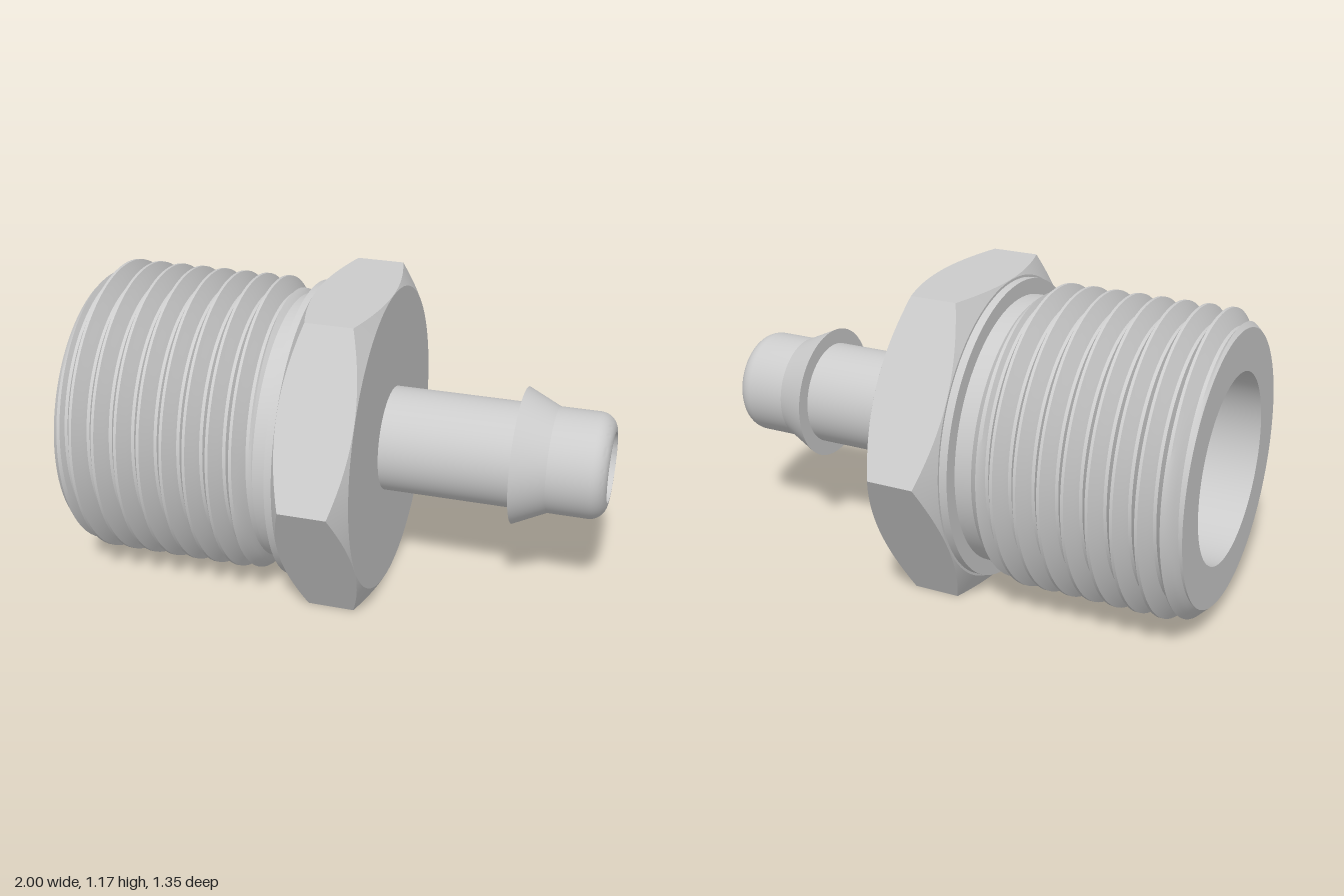
import * as THREE from 'three';
import { toCreasedNormals } from 'three/addons/utils/BufferGeometryUtils.js';

const material = new THREE.MeshStandardMaterial({ color: 0xcccccc });
const AXIS_Y = 0.583; // height of the fitting's axis, also half the hex width

function addMesh(group, name, geometry) {
  const mesh = new THREE.Mesh(toCreasedNormals(geometry, 0.4), material);
  mesh.name = name;
  group.add(mesh);
}

// Turned part: profile points are [x, radius], outside running towards +x
function turned(profile) {
  const points = profile.map(([x, r]) => new THREE.Vector2(r, x));
  return new THREE.LatheGeometry(points, 96).rotateZ(-Math.PI / 2);
}

// Surface wound round the x axis; at(row, angle) gives [x, radius]
function wound(rows, segments, at) {
  const positions = [], index = [];
  for (let i = 0; i < rows; i++) {
    for (let j = 0; j <= segments; j++) {
      const angle = (j / segments) * Math.PI * 2;
      const [x, r] = at(i, angle);
      positions.push(x, r * Math.cos(angle), r * Math.sin(angle));
    }
  }
  const point = (k) => new THREE.Vector3().fromArray(positions, k * 3);
  const addTriangle = (a, b, c) => {
    // skip slivers where rows run together
    if (new THREE.Triangle(point(a), point(b), point(c)).getArea() > 1e-8) index.push(a, b, c);
  };
  for (let i = 0; i < rows - 1; i++) {
    for (let j = 0; j < segments; j++) {
      const a = i * (segments + 1) + j, b = a + segments + 1;
      addTriangle(a, a + 1, b);
      addTriangle(a + 1, b + 1, b);
    }
  }
  const geometry = new THREE.BufferGeometry();
  geometry.setAttribute('position', new THREE.Float32BufferAttribute(positions, 3));
  geometry.setIndex(index);
  return geometry;
}

// Right-hand helical thread, bevelled down to the root at both ends
function threadGeometry() {
  const start = -1, end = -0.22, pitch = 0.0887, root = 0.512, height = 0.06;
  const tooth = [[-0.06, 1], [0.06, 1], [0.18, 0.67], [0.31, 0.33], [0.43, 0],
    [0.57, 0], [0.69, 0.33], [0.82, 0.67]]; // [part of pitch, part of height]
  return wound(tooth.length * 12, 96, (row, angle) => {
    const [offset, rise] = tooth[row % tooth.length];
    const turn = Math.floor(row / tooth.length) + angle / (Math.PI * 2);
    const x = THREE.MathUtils.clamp(-1.102 + pitch * (turn + offset), start, end);
    return [x, root + Math.min(rise * height, x - start, end - x)];
  });
}

// Hexagon with corners towards +z and -z, both faces chamfered by a 30 degree cone
function nutGeometry() {
  const x0 = -0.125, x1 = 0.16, faceRadius = 0.581, side = Math.PI / 3;
  return wound(6, 144, (row, angle) => {
    const fromFlat = angle - Math.round(angle / side) * side;
    const r = AXIS_Y / Math.cos(fromFlat);
    const depth = (r - faceRadius) * 0.577;
    return [[x0, 0.3], [x0, faceRadius], [x0 + depth, r],
      [x1 - depth, r], [x1, faceRadius], [x1, 0.15]][row];
  });
}

export function createModel() {
  const group = new THREE.Group();
  group.name = 'hoseBarbFitting';
  const body = new THREE.Group();
  body.name = 'body';
  body.position.y = AXIS_Y;
  group.add(body);

  addMesh(body, 'thread', threadGeometry());
  addMesh(body, 'hexNut', nutGeometry());

  // End face and the plain neck behind the thread
  addMesh(body, 'endFace', turned([[-1, 0.355], [-1, 0.512]]));
  addMesh(body, 'neck', turned([[-0.22, 0.512], [-0.155, 0.512]]));
  addMesh(body, 'collar', turned([[-0.155, 0.512], [-0.155, 0.572], [-0.125, 0.572]]));

  // Hose stem with one barb and a rounded tip
  const stem = [[0.1, 0.2], [0.66, 0.2], [0.66, 0.259], [0.785, 0.2]];
  for (let i = 0; i <= 10; i++) {
    const a = (i / 10) * Math.PI / 2;
    stem.push([0.935 + 0.065 * Math.sin(a), 0.135 + 0.065 * Math.cos(a)]);
  }
  stem.push([1, 0.133]);
  addMesh(body, 'hoseStem', turned(stem));

  // Stepped bore: narrow through the stem, wide through the threaded end
  addMesh(body, 'bore', turned([[1, 0.133], [-0.05, 0.133], [-0.05, 0.355], [-1, 0.355]]));

  return group;
}
